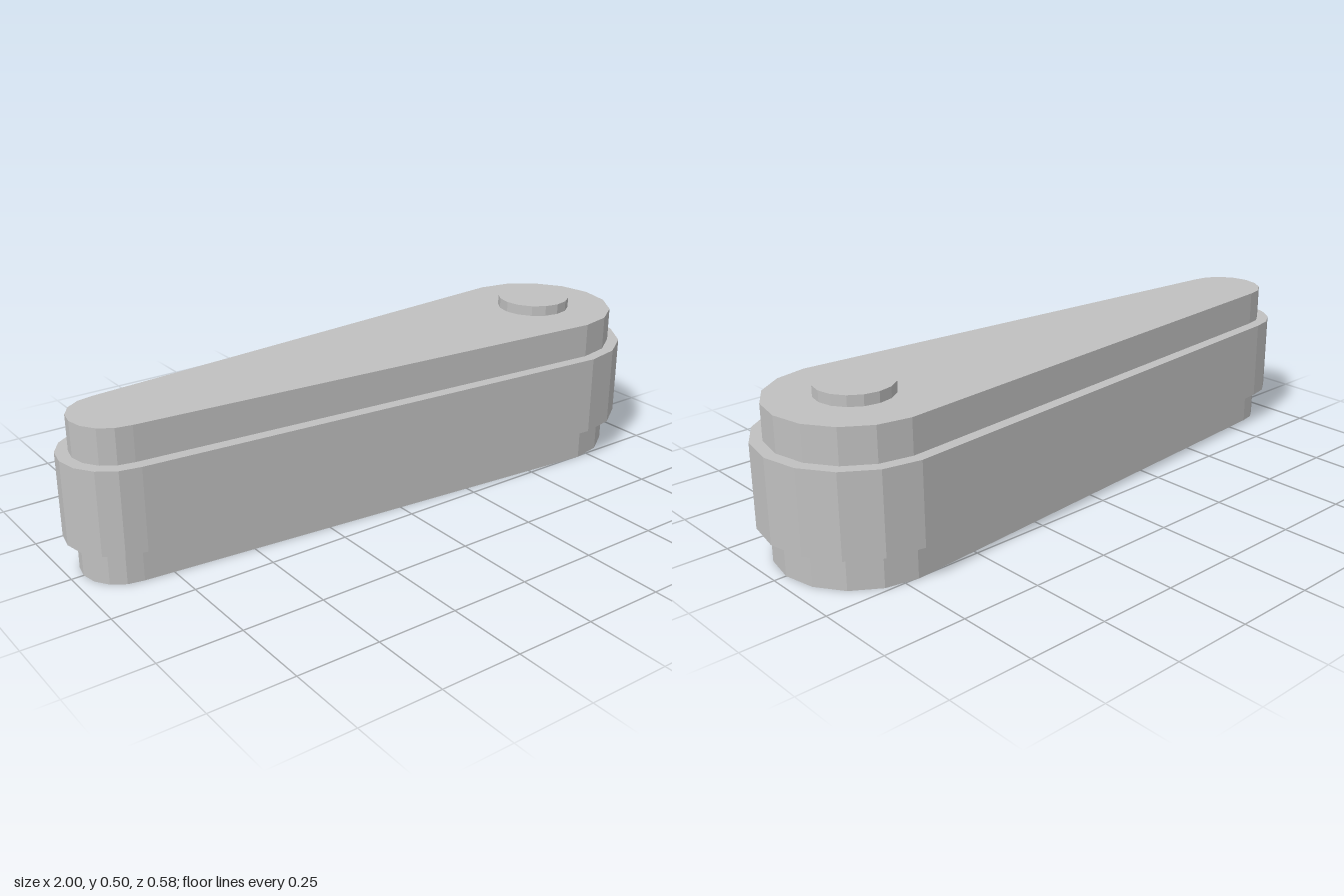
import * as THREE from 'three';

const BIG_X = 0.708, SMALL_X = -0.838;

// Tapered outline: a faceted half circle at each end
function taperedOutline(bigR, smallR) {
  const points = [];
  const addEnd = (cx, r, start) => {
    for (let i = 0; i <= 8; i++) {
      const a = start + (i * Math.PI) / 8;
      points.push(new THREE.Vector2(cx + r * Math.cos(a), r * Math.sin(a)));
    }
  };
  addEnd(BIG_X, bigR, -Math.PI / 2);
  addEnd(SMALL_X, smallR, Math.PI / 2);
  return new THREE.Shape(points);
}

export function createModel() {
  const group = new THREE.Group();
  const grey = new THREE.MeshStandardMaterial({ color: 0xc0c0c0 });
  grey.name = 'light grey';
  grey.flatShading = true;

  const addSlab = (name, bigR, smallR, y0, y1) => {
    const geometry = new THREE.ExtrudeGeometry(taperedOutline(bigR, smallR), {
      depth: y1 - y0,
      bevelEnabled: false,
    });
    geometry.rotateX(-Math.PI / 2);
    const mesh = new THREE.Mesh(geometry, grey);
    mesh.name = name;
    mesh.position.y = y0;
    group.add(mesh);
  };

  // Narrow core running the full height, with a wider band around its middle
  addSlab('core', 0.255, 0.125, 0, 0.467);
  addSlab('middleBand', 0.292, 0.162, 0.107, 0.36);

  // Low round button over the wide end
  const button = new THREE.Mesh(new THREE.CylinderGeometry(0.116, 0.116, 0.034, 16), grey);
  button.name = 'button';
  button.position.set(BIG_X, 0.483, 0);
  group.add(button);

  return group;
}
